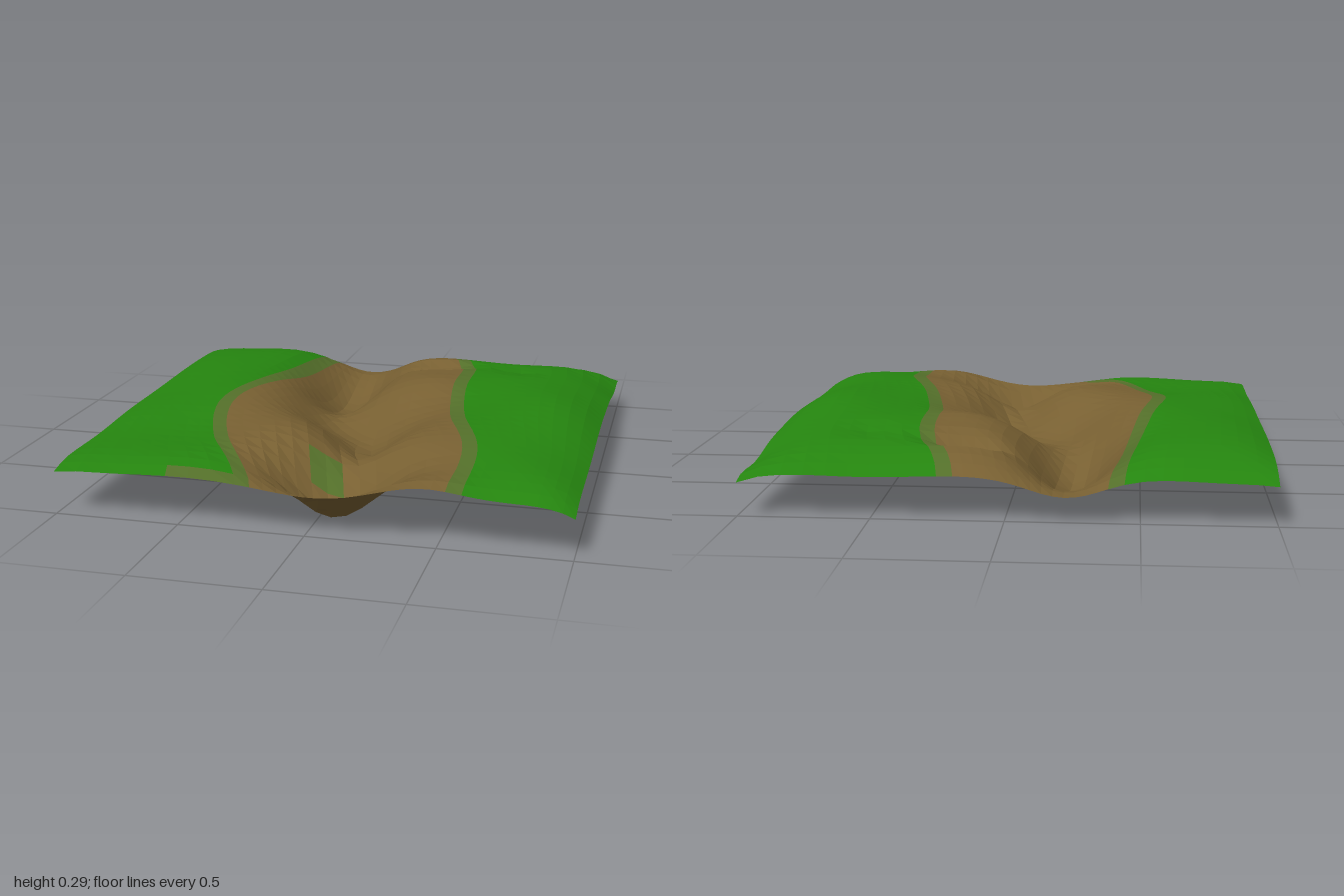
import * as THREE from 'three';

// Hollows and mounds: centre x, z, radius in x, z, and rise
const bumps = [
  [0.06, 0.76, 0.25, 0.18, -0.244], // front hollow
  [-0.23, -0.55, 0.19, 0.38, -0.264], // back hollow
  [0.06, 0.3, 0.16, 0.3, -0.15], // channel between them
  [-0.1, 0, 0.22, 0.25, -0.14],
  [0.25, 0.05, 0.15, 0.25, -0.04],
  [0.18, -0.68, 0.16, 0.07, -0.07], // step across the track
  [0.22, -0.32, 0.15, 0.15, 0.02], // mounds on the banks
  [0.78, 0, 0.25, 0.4, 0.035],
  [0.45, 1, 0.2, 0.15, 0.04],
  [-0.7, 0.6, 0.35, 0.3, -0.04], // low spots in the grass
  [0.57, -0.6, 0.1, 0.1, -0.02],
  [1, -0.75, 0.2, 0.2, -0.04],
];

// Height of the ground: a plateau with drooping edges, soft ripples and bumps
function height(x, z) {
  const sideDroop = (x < 0 ? 0.05 : 0.08) * x ** 8;
  const endDroop = (z < 0 ? 0.1 : 0.07) * z ** 6;
  let y = 0.275 - Math.hypot(sideDroop, endDroop) + 0.006 * Math.sin(9 * x) * Math.cos(7 * z);
  for (const [cx, cz, rx, rz, rise] of bumps) {
    y += rise * Math.exp(-(((x - cx) / rx) ** 2) - ((z - cz) / rz) ** 2);
  }
  return y;
}

// Border of the dirt track, from x values evenly spaced from back to front
function border(xs) {
  const curve = new THREE.SplineCurve(xs.map((x, i) => new THREE.Vector2(x, i)));
  return offset => z => curve.getPoint((z + 1) / 2).x + offset;
}
const rightBorder = border([-0.41, -0.46, -0.52, -0.58, -0.46, -0.24]);
const leftBorder = border([0.22, 0.34, 0.36, 0.43, 0.55, 0.56]);

// Grid of ground between two borders; pick() chooses the material of each cell
function groundBand(name, from, to, columns, materials, pick = () => 0) {
  const rows = 30, positions = [];
  const faces = materials.map(() => []);
  for (let j = 0; j <= rows; j++) {
    const z = -1 + 2 * j / rows;
    for (let i = 0; i <= columns; i++) {
      const x = THREE.MathUtils.lerp(from(z), to(z), i / columns);
      positions.push(x, height(x, z), z);
    }
  }
  for (let j = 0; j < rows; j++) {
    for (let i = 0; i < columns; i++) {
      const a = j * (columns + 1) + i, b = a + columns + 1;
      const x = (positions[3 * a] + positions[3 * b + 3]) / 2;
      const z = (positions[3 * a + 2] + positions[3 * b + 2]) / 2;
      faces[pick(x, z)].push(a, b, b + 1, a, b + 1, a + 1);
    }
  }
  const geometry = new THREE.BufferGeometry();
  geometry.setAttribute('position', new THREE.Float32BufferAttribute(positions, 3));
  geometry.setIndex(faces.flat());
  let start = 0;
  faces.forEach((f, m) => {
    geometry.addGroup(start, f.length, m);
    start += f.length;
  });
  geometry.computeVertexNormals();
  const mesh = new THREE.Mesh(geometry, materials);
  mesh.name = name;
  return mesh;
}

function material(name, color) {
  const m = new THREE.MeshStandardMaterial({ color, flatShading: true, side: THREE.DoubleSide });
  m.name = name;
  return m;
}

export function createModel() {
  const grass = material('grass green', 0x25850f);
  const dirt = material('dirt brown', 0x786032);
  const worn = material('worn grass', 0x54702a);
  const group = new THREE.Group();
  group.name = 'terrain';

  // Mossy patch on the wall of the front hollow
  const moss = (x, z) => (Math.hypot(x + 0.02, z - 0.62) < 0.075 ? 1 : 0);
  // Bare strip along the front rim
  const rim = (x, z) => (z > 0.95 && x > -0.55 ? 1 : 0);

  const half = 0.03; // half the width of the worn verges
  group.add(
    groundBand('rightGrass', () => -1, rightBorder(-half), 8, [grass, worn], rim),
    groundBand('rightVerge', rightBorder(-half), rightBorder(half), 1, [worn]),
    groundBand('dirtTrack', rightBorder(half), leftBorder(-half), 14, [dirt, worn], moss),
    groundBand('leftVerge', leftBorder(-half), leftBorder(half), 1, [worn]),
    groundBand('leftGrass', leftBorder(half), () => 1, 9, [grass]),
  );
  return group;
}
